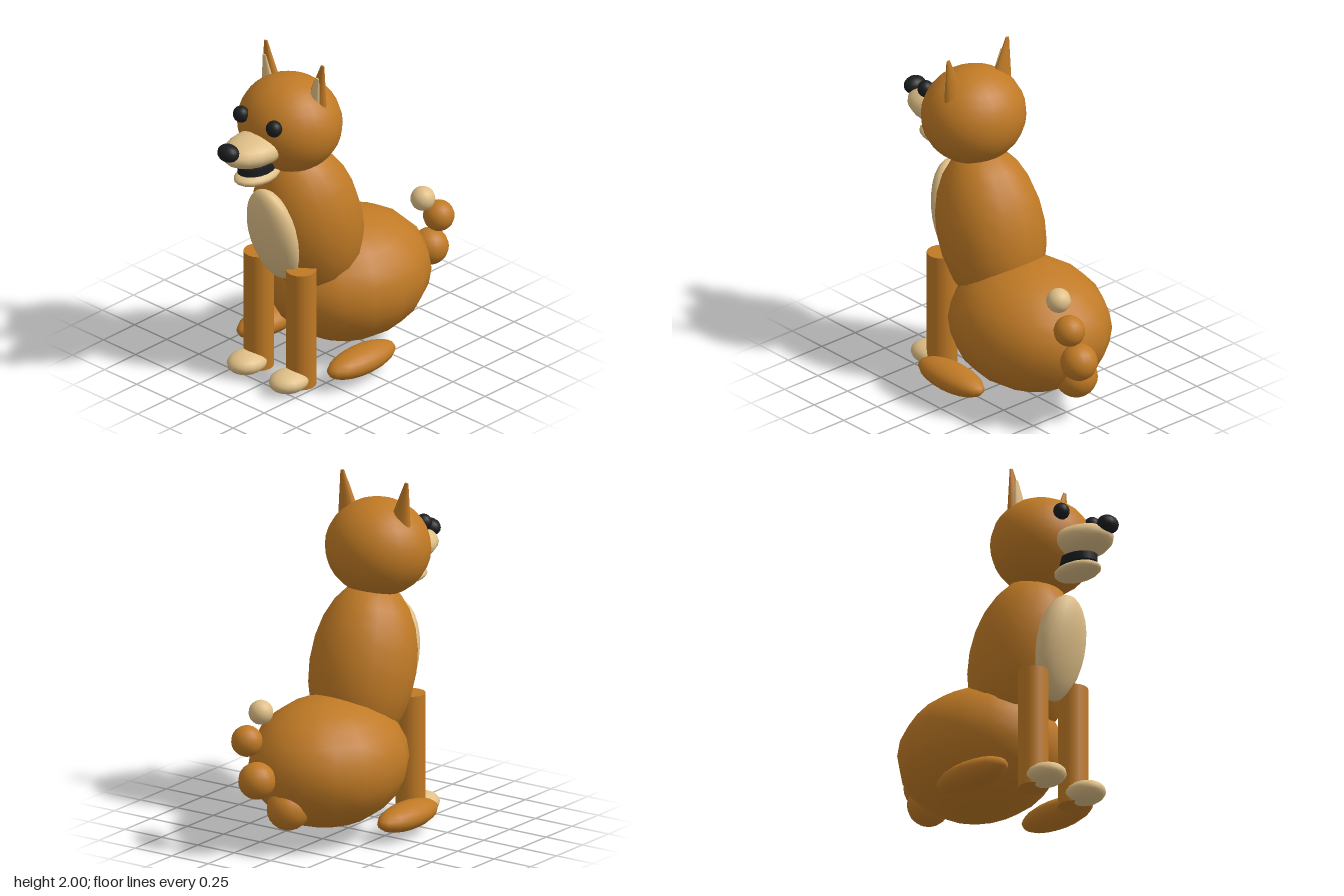
import * as THREE from 'three';

export function createModel() {
  const dog = new THREE.Group();
  dog.name = 'sittingDog';

  const material = (name, color) => {
    const m = new THREE.MeshStandardMaterial({ color });
    m.name = name;
    return m;
  };
  const fur = material('orangeFur', 0xc07a25);
  const cream = material('creamFur', 0xe0c088);
  const black = material('black', 0x1c1d1f);

  function add(name, geometry, mat, position) {
    const mesh = new THREE.Mesh(geometry, mat);
    mesh.name = name;
    mesh.position.set(...position);
    dog.add(mesh);
    return mesh;
  }

  // Ellipsoid with the given radii
  function blob(name, mat, position, radii, segments = 16, rows = 12) {
    const geometry = new THREE.SphereGeometry(1, segments, rows).scale(...radii);
    return add(name, geometry, mat, position);
  }

  // Flattened cone between two points in the x-y plane
  function earCone(name, mat, base, tip, radius, flat) {
    const dx = tip[0] - base[0];
    const dy = tip[1] - base[1];
    const geometry = new THREE.CylinderGeometry(0.012, radius, Math.hypot(dx, dy), 16);
    geometry.scale(1, 1, flat);
    const cone = add(name, geometry, mat,
      [(base[0] + tip[0]) / 2, (base[1] + tip[1]) / 2, base[2]]);
    cone.rotation.z = -Math.atan2(dx, dy);
  }

  // Torso
  blob('body', fur, [0, 0.45, -0.19], [0.43, 0.37, 0.495]);
  blob('chest', fur, [0, 0.92, 0.14], [0.305, 0.49, 0.31]).rotation.x = 0.25;
  blob('bib', cream, [0, 0.92, 0.415], [0.175, 0.31, 0.1], 20, 14).rotation.x = 0.25;

  // Head and face
  blob('head', fur, [0, 1.582, 0.285], [0.305, 0.28, 0.286], 24, 16);
  blob('muzzle', cream, [0, 1.52, 0.56], [0.15, 0.09, 0.23]);
  blob('lowerJaw', cream, [0, 1.35, 0.55], [0.103, 0.045, 0.155]);
  blob('nose', black, [0, 1.57, 0.78], [0.068, 0.052, 0.055]);
  add('mouth', new THREE.CylinderGeometry(0.09, 0.09, 0.045, 16).scale(1, 1, 1.4), black, [0, 1.408, 0.553]);

  // Paired parts
  for (const [side, s] of [['left', 1], ['right', -1]]) {
    blob(side + 'Eye', black, [s * 0.128, 1.68, 0.545], [0.048, 0.048, 0.045]);
    earCone(side + 'Ear', fur, [s * 0.17, 1.72, 0.25], [s * 0.221, 2.0, 0.25], 0.076, 0.54);
    earCone(side + 'InnerEar', cream, [s * 0.172, 1.735, 0.277], [s * 0.207, 1.925, 0.277], 0.052, 0.4);
    add(side + 'FrontLeg', new THREE.CylinderGeometry(0.086, 0.086, 0.72, 16), fur, [s * 0.165, 0.375, 0.365]);
    blob(side + 'FrontPaw', cream, [s * 0.163, 0.068, 0.46], [0.105, 0.063, 0.125]);
    blob(side + 'HindFoot', fur, [s * 0.352, 0.124, 0.075], [0.106, 0.078, 0.255]);
  }

  // Curled tail made of shrinking balls with a pale tip
  const tail = [
    [0, 0.265, -0.58, 0.122],
    [0.11, 0.447, -0.728, 0.106],
    [0.18, 0.667, -0.726, 0.089],
    [0.163, 0.81, -0.615, 0.07],
  ];
  tail.forEach(([x, y, z, r], i) => {
    const tip = i === tail.length - 1;
    blob(tip ? 'tailTip' : 'tailBall' + (i + 1), tip ? cream : fur, [x, y, z], [r, r, r]);
  });

  return dog;
}
